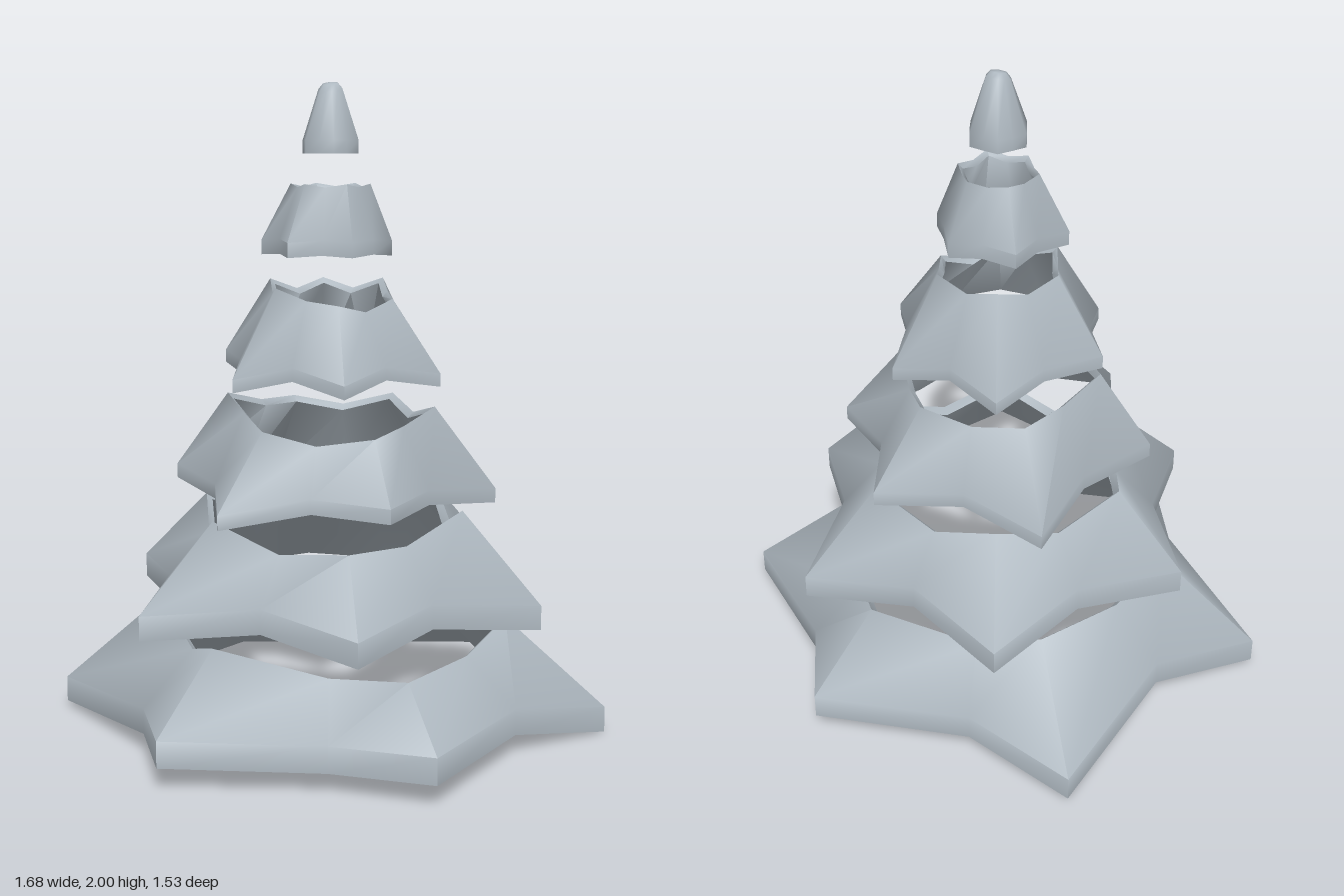
import * as THREE from 'three';
import { toCreasedNormals } from 'three/addons/utils/BufferGeometryUtils.js';

const even = (value) => Array(6).fill(value);

// Each branch tier is a six-pointed star ring.
// reach and foot: radius and height of the six lower tips
// crown: radius of the upper edge, crest: its height above each tip, dip: how far it sinks between
// notch: radius and height of the lower edge between the tips
const TIERS = [
  {
    name: 'bottomTier', crown: 0.552, dip: 0.075, lip: 0.08, notch: [0.645, 0.06],
    reach: [0.865, 0.805, 0.79, 0.87, 0.87, 0.795], foot: [0, 0.065, 0.065, 0.015, 0.01, 0.065],
    crest: [0.355, 0.3, 0.36, 0.375, 0.37, 0.355],
  },
  {
    name: 'secondTier', crown: 0.437, dip: 0.08, lip: 0.075, notch: [0.505, 0.41],
    reach: [0.69, 0.685, 0.695, 0.665, 0.69, 0.69], foot: [0.37, 0.375, 0.375, 0.4, 0.375, 0.37],
    crest: [0.715, 0.65, 0.7, 0.7, 0.7, 0.7],
  },
  {
    name: 'thirdTier', crown: 0.325, dip: 0.04, lip: 0.045, notch: [0.378, 0.745],
    reach: [0.515, 0.475, 0.525, 0.49, 0.53, 0.52], foot: [0.72, 0.73, 0.705, 0.77, 0.705, 0.75],
    crest: [1.015, 0.96, 0.97, 1.045, 1, 1.015],
  },
  {
    name: 'fourthTier', crown: 0.205, dip: 0.035, lip: 0.04, notch: [0.28, 1.12],
    reach: even(0.362), foot: [1.09, 1.08, 1.08, 1.13, 1.08, 1.08],
    crest: [1.35, 1.34, 1.385, 1.4, 1.395, 1.4],
  },
  {
    name: 'fifthTier', crown: 0.123, dip: 0.01, lip: 0.045, notch: [0.165, 1.485],
    reach: [0.19, 0.18, 0.205, 0.215, 0.21, 0.2], foot: even(1.478), crest: even(1.695),
  },
];

// Stacks rings of points into a smooth surface with sharp edges kept
function skin(rings, closeLoop) {
  const n = rings[0].length;
  const index = [];
  const rows = closeLoop ? rings.length : rings.length - 1;
  for (let r = 0; r < rows; r++) {
    const q = (r + 1) % rings.length;
    for (let i = 0; i < n; i++) {
      const j = (i + 1) % n;
      const a = r * n + i, b = r * n + j, c = q * n + j, d = q * n + i;
      index.push(a, d, b, b, d, c);
    }
  }
  const geometry = new THREE.BufferGeometry();
  geometry.setAttribute('position', new THREE.Float32BufferAttribute(rings.flat(2), 3));
  geometry.setIndex(index);
  return toCreasedNormals(geometry, 1.25);
}

const point = (degrees, r, y) => {
  const a = THREE.MathUtils.degToRad(degrees);
  return [r * Math.cos(a), y, r * Math.sin(a)];
};

// Hollow ring: lower edge, lip, upper edge, inner rim and back down
function tierGeometry({ crown, crest, dip, lip, notch, reach, foot }, level) {
  const turn = level % 2 ? 0 : -15; // every other tier is twisted
  const skew = level === 0 ? -8 : 0; // the lowest notches lean to one side
  const rim = 0.023 - level * 0.002;
  const rings = [[], [], [], []];
  const addCorner = (degrees, r, y, topR, topY) => {
    rings[0].push(point(degrees, r, y));
    rings[1].push(point(degrees, r, y + lip));
    rings[2].push(point(degrees, topR, topY));
    rings[3].push(point(degrees, topR - rim, topY - rim));
  };
  for (let k = 0; k < 6; k++) {
    const degrees = turn + 60 * k;
    // the front left tip opens wider at the top
    addCorner(degrees, reach[k], foot[k], crown * (k === 1 ? 1.1 : 1), crest[k]);
    const sag = Math.max(crest[k], crest[(k + 1) % 6]) - dip;
    addCorner(degrees + 30 + skew, notch[0], notch[1], crown * 0.87, sag);
  }
  return skin(rings, true);
}

// Treetop: solid six-sided bud with a slanted crown
function topGeometry() {
  const profile = [[0, 1.81], [0.075, 1.795], [0.093, 1.785], [0.093, 1.825], [0.04, 1.975], [0.025, 1.992], [0, 1.995]];
  const rings = profile.map(([r, y], level) => {
    const ring = [];
    for (let i = 0; i < 12; i++) {
      const p = point(i * 30, r * (i % 2 ? 0.88 : 1), y);
      if (level > 3) p[1] = Math.min(2, p[1] - p[2] * 0.25 + 0.003);
      ring.push(p);
    }
    return ring;
  });
  return skin(rings, false);
}

export function createModel() {
  const tree = new THREE.Group();
  tree.name = 'tieredTree';
  const material = new THREE.MeshStandardMaterial({ color: 0xaeb8c0 });
  material.name = 'paleBlueGrey';

  const add = (name, geometry) => {
    const mesh = new THREE.Mesh(geometry, material);
    mesh.name = name;
    tree.add(mesh);
  };
  TIERS.forEach((tier, level) => add(tier.name, tierGeometry(tier, level)));
  add('treetop', topGeometry());
  return tree;
}
